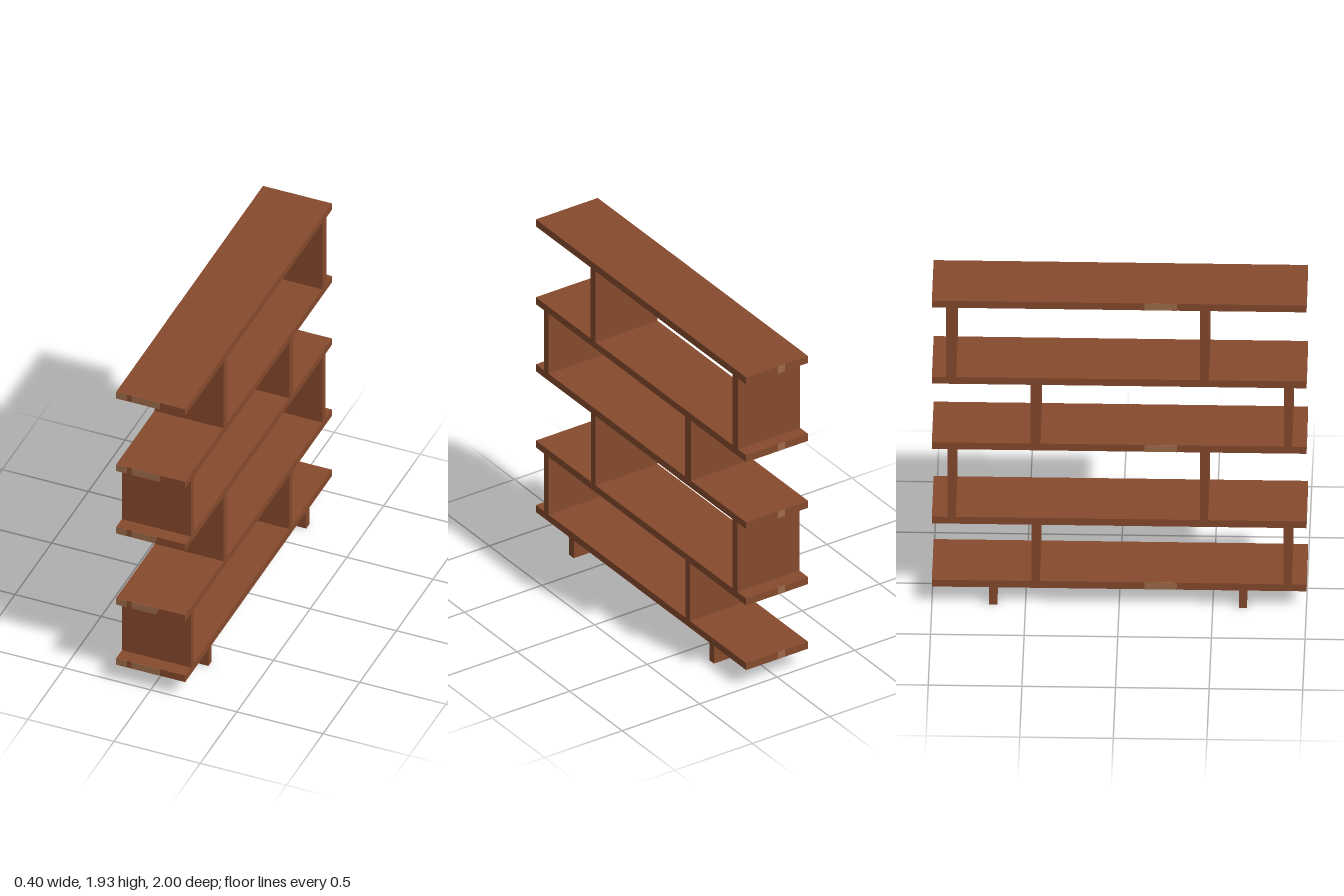
import * as THREE from 'three';

export function createModel() {
  const root = new THREE.Group();
  root.name = 'shelvingUnit';
  const wood = new THREE.MeshStandardMaterial({ color: 0x864a2d });
  wood.name = 'brownWood';
  const pale = new THREE.MeshStandardMaterial({ color: 0x9e6b4a });
  pale.name = 'paleWood';

  const W = 0.4, T = 0.043, P = 0.002;

  // Box given by its extents along each axis
  function box(name, mat, [x0, x1], [y0, y1], [z0, z1]) {
    const mesh = new THREE.Mesh(new THREE.BoxGeometry(x1 - x0, y1 - y0, z1 - z0), mat);
    mesh.position.set((x0 + x1) / 2, (y0 + y1) / 2, (z0 + z1) / 2);
    mesh.name = name;
    root.add(mesh);
  }

  // Pale plate on a front board end, with a slightly slanted right edge
  function frontPatch(x0, x1, slant, y) {
    const s = new THREE.Shape([
      new THREE.Vector2(x0, y), new THREE.Vector2(x1 - slant, y),
      new THREE.Vector2(x1, y + T * 0.6), new THREE.Vector2(x1, y + T), new THREE.Vector2(x0, y + T),
    ]);
    const mesh = new THREE.Mesh(new THREE.ExtrudeGeometry(s, { depth: P, bevelEnabled: false }), pale);
    mesh.position.z = 1 - P / 2;
    mesh.name = 'frontEndPatch';
    root.add(mesh);
  }

  // Five boards, bottom to top, with pale patches on their edges
  const levels = [0.11, 0.511, 0.984, 1.4, 1.883];
  const patchEnd = [0.05, 0.045, 0.035, 0.05, 0.05];
  const slants = [0, 0.015, 0.01, 0, 0];
  levels.forEach((y, i) => {
    const ys = [y, y + T];
    box('shelfBoard', wood, [-W / 2, W / 2], ys, [-1, 1]);
    frontPatch(-0.2, -0.138, 0, y);
    frontPatch(-0.112, patchEnd[i], slants[i], y);
    box('backEndPatch', pale, [-0.05, -0.005], ys, [-1 - P / 2, -1 + P / 2]);
    if (i % 2 === 0) box('sidePatch', pale, [-W / 2 - P / 2, -W / 2 + P / 2], ys, [0.135, 0.31]);
  });

  // Staggered uprights between the boards: [centre z, thickness]
  const rows = [
    [[0.9, 0.043], [-0.445, 0.043]],
    [[0.453, 0.043], [-0.894, 0.043]],
    [[0.902, 0.043], [-0.447, 0.054]],
    [[0.455, 0.048], [-0.897, 0.054]],
  ];
  rows.forEach((row, i) => {
    for (const [z, t] of row) {
      box('upright', wood, [-W / 2, W / 2], [levels[i] + T, levels[i + 1]], [z - t / 2, z + t / 2]);
    }
  });

  // Feet
  for (const z of [0.661, -0.672]) {
    box('foot', wood, [-W / 2, W / 2], [0, levels[0]], [z - T / 2, z + T / 2]);
  }
  return root;
}
